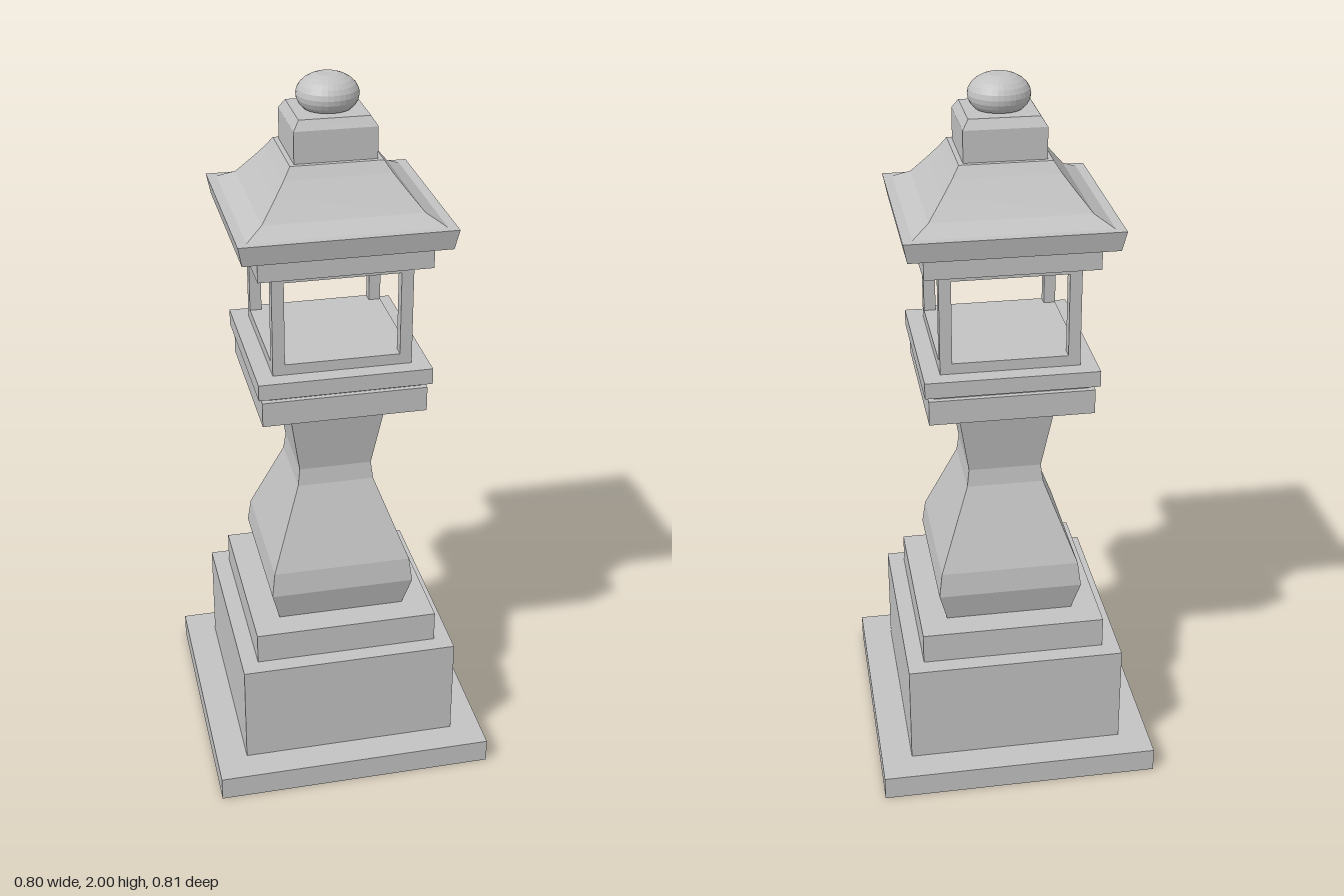
import * as THREE from 'three';

export function createModel() {
  const lantern = new THREE.Group();
  lantern.name = 'stoneLantern';
  const stone = new THREE.MeshStandardMaterial({ color: 0xc2c2c2, flatShading: true });
  stone.name = 'grey stone';

  const add = (name, geometry, parent = lantern) => {
    const mesh = new THREE.Mesh(geometry, stone);
    mesh.name = name;
    parent.add(mesh);
    return mesh;
  };

  // Rectangular slab from half-widths and its bottom and top heights
  const slab = (name, hx, hz, y0, y1, parent) =>
    add(name, new THREE.BoxGeometry(hx * 2, y1 - y0, hz * 2), parent)
      .position.set(0, (y0 + y1) / 2, 0);

  // Four-sided tapering body: profile of [half-width, height], closed at both ends
  const taper = (name, profile, depthRatio) => {
    const points = profile.map(([h, y]) => new THREE.Vector2(h * Math.SQRT2, y));
    points.unshift(new THREE.Vector2(0, points[0].y));
    points.push(new THREE.Vector2(0, points[points.length - 1].y));
    const geometry = new THREE.LatheGeometry(points, 4, Math.PI / 4);
    geometry.scale(1, 1, depthRatio);
    return add(name, geometry);
  };

  // Stepped base
  slab('basePlate', 0.398, 0.405, 0, 0.07);
  slab('plinth', 0.31, 0.317, 0.07, 0.37);
  slab('plinthStep', 0.262, 0.269, 0.37, 0.46);

  // Waisted column
  taper('column', [
    [0.183, 0.46], [0.206, 0.55], [0.197, 0.62], [0.153, 0.735],
    [0.109, 0.85], [0.103, 0.9], [0.134, 1.09],
  ], 1.035);

  // Platform carrying the light chamber
  slab('platformCollar', 0.157, 0.163, 1.09, 1.12);
  slab('platformLower', 0.226, 0.232, 1.12, 1.19);
  slab('platformGroove', 0.21, 0.217, 1.19, 1.205);
  slab('platformUpper', 0.237, 0.243, 1.205, 1.25);

  // Open light chamber with a post at each corner
  const chamber = new THREE.Group();
  chamber.name = 'lightChamber';
  lantern.add(chamber);
  slab('chamberFloor', 0.19, 0.195, 1.25, 1.28, chamber);
  slab('chamberCeiling', 0.19, 0.195, 1.515, 1.54, chamber);
  for (const sx of [-1, 1]) {
    for (const sz of [-1, 1]) {
      const post = add('cornerPost', new THREE.BoxGeometry(0.033, 0.235, 0.033), chamber);
      post.position.set(sx * 0.1735, 1.3975, sz * 0.1785);
    }
  }

  // Roof with flared eaves
  slab('roofSupport', 0.232, 0.237, 1.54, 1.6);
  taper('eaves', [[0.275, 1.6], [0.286, 1.655]], 0.963);
  taper('roof', [
    [0.26, 1.655], [0.213, 1.682], [0.17, 1.735], [0.143, 1.77], [0.123, 1.8],
  ], 0.967);
  taper('roofNeck', [[0.11, 1.8], [0.11, 1.885], [0.094, 1.91]], 0.963);

  // Squashed ball finial, cut flat underneath
  const ball = [new THREE.Vector2(0, 1.905)];
  for (let i = 0; i <= 8; i++) {
    const a = THREE.MathUtils.lerp(-0.7, 1.22, i / 8);
    ball.push(new THREE.Vector2(0.083 * Math.cos(a), 1.948 + 0.0553 * Math.sin(a)));
  }
  ball.push(new THREE.Vector2(0, 2));
  add('finial', new THREE.LatheGeometry(ball, 32));

  return lantern;
}
